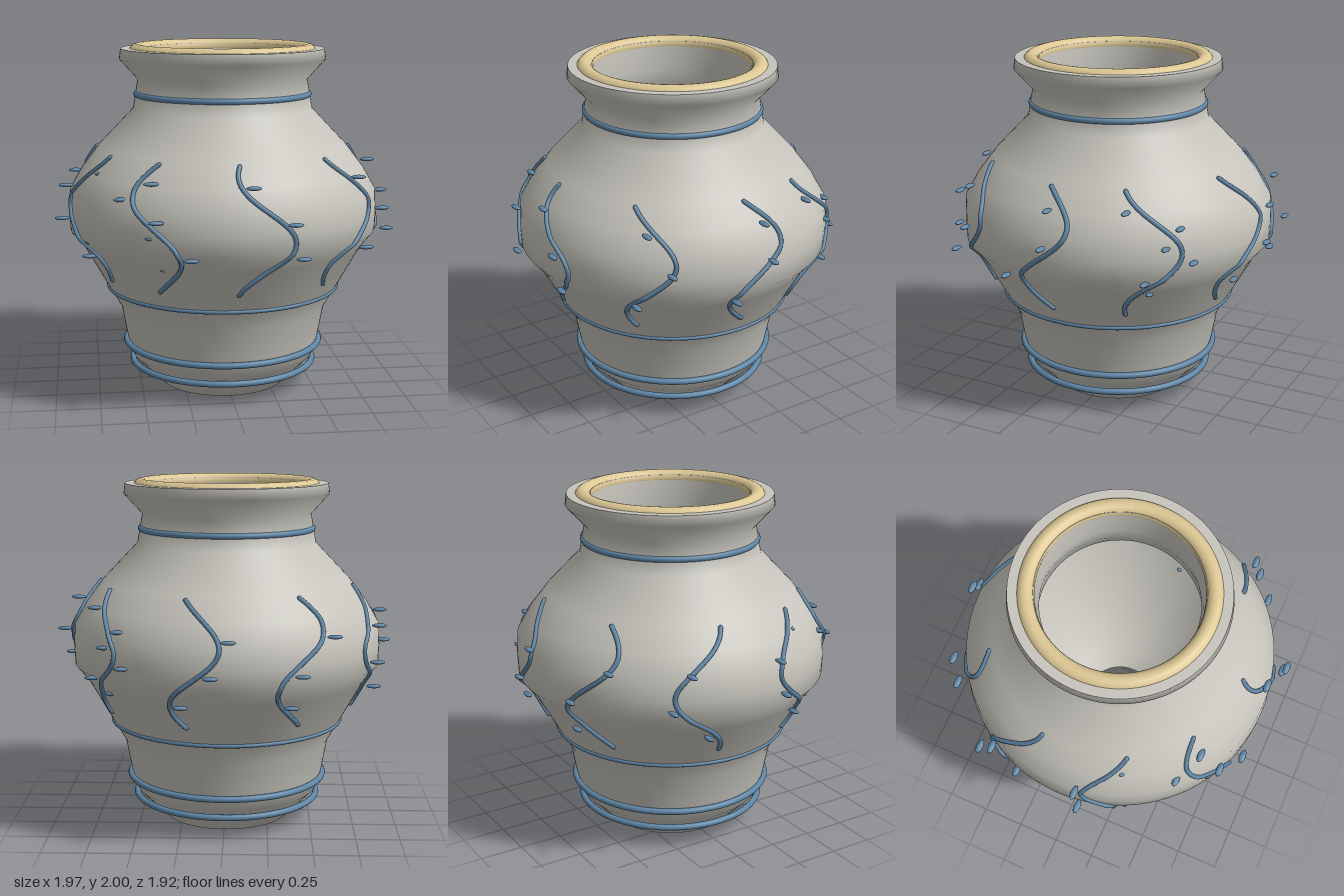
import * as THREE from 'three';

const clay = new THREE.MeshStandardMaterial({ color: 0xc6c4bc, side: THREE.DoubleSide });
clay.name = 'clay';
const blue = new THREE.MeshStandardMaterial({ color: 0x5f86a6 });
blue.name = 'blue glaze';
const cream = new THREE.MeshStandardMaterial({ color: 0xdcc794 });
cream.name = 'cream rim';

// outer wall profile as [radius, height]
const OUTER = [
  [0.365, 0], [0.535, 0.17], [0.57, 0.28], [0.605, 0.47], [0.68, 0.6],
  [0.82, 0.85], [0.893, 0.94], [0.897, 1.05], [0.89, 1.17], [0.82, 1.29],
  [0.72, 1.42], [0.52, 1.63], [0.49, 1.8], [0.595, 1.915], [0.587, 1.975],
];
// lip, then the cavity down to the hole and the hollow foot
const LIP = [[0.587, 1.975], [0.45, 1.975]];
const INNER = [
  [0.45, 1.975], [0.43, 1.8], [0.45, 1.63], [0.64, 1.4], [0.8, 1.15], [0.8, 0.97],
  [0.57, 0.58], [0.42, 0.36], [0.32, 0.28], [0.22, 0.16],
];
const FOOT = [[0.22, 0.16], [0.365, 0]];

function add(parent, name, geometry, material) {
  const mesh = new THREE.Mesh(geometry, material);
  mesh.name = name;
  parent.add(mesh);
  return mesh;
}

const lathe = (profile) =>
  new THREE.LatheGeometry(profile.map(([r, y]) => new THREE.Vector2(r, y)), 96);

function ring(parent, name, radius, tube, y, material) {
  const mesh = add(parent, name, new THREE.TorusGeometry(radius, tube, 16, 96), material);
  mesh.rotation.x = Math.PI / 2;
  mesh.position.y = y;
}

// radius of the outer wall at a height
function wallRadius(y) {
  for (let i = 1; i < OUTER.length; i++) {
    const [r0, y0] = OUTER[i - 1];
    const [r1, y1] = OUTER[i];
    if (y <= y1) return r0 + ((r1 - r0) * (y - y0)) / (y1 - y0);
  }
  return OUTER[OUTER.length - 1][0];
}

// point of a wavy vine lying on the wall, t from 0 (bottom) to 1 (top)
function vinePoint(index, phase, t) {
  const y = 0.7 + 0.7 * t;
  const angle = (index * Math.PI * 2) / 9 + 0.16 + 0.17 * Math.sin(Math.PI * 2 * t + phase);
  const r = wallRadius(y) + 0.005;
  return new THREE.Vector3(r * Math.sin(angle), y, r * Math.cos(angle));
}

export function createModel() {
  const vase = new THREE.Group();
  vase.name = 'vase';

  // clay body
  add(vase, 'outerWall', lathe(OUTER), clay);
  add(vase, 'lip', lathe(LIP), clay);
  add(vase, 'innerWall', lathe(INNER), clay);
  add(vase, 'hollowFoot', lathe(FOOT), clay);

  // rings
  ring(vase, 'rim', 0.493, 0.048, 1.952, cream);
  ring(vase, 'neckRing', 0.497, 0.018, 1.715, blue);
  ring(vase, 'shoulderRing', 0.675, 0.012, 0.59, blue);
  ring(vase, 'lowerRing', 0.574, 0.018, 0.25, blue);
  ring(vase, 'footRing', 0.537, 0.018, 0.13, blue);

  // nine vines, each with six leaves on alternating sides
  const phases = [-1.13, -2.35, -3.05, -1.9, -2.62, 2.73, 1.4, 0.86, -0.3];
  const leafGeometry = new THREE.SphereGeometry(1, 16, 10).scale(0.042, 0.012, 0.019);
  phases.forEach((phase, i) => {
    const vine = new THREE.Group();
    vine.name = 'vine' + (i + 1);
    const points = [];
    for (let k = 0; k <= 20; k++) points.push(vinePoint(i, phase, k / 20));
    const path = new THREE.CatmullRomCurve3(points);
    add(vine, 'stem', new THREE.TubeGeometry(path, 48, 0.013, 8), blue);
    // stem ends
    for (const end of [points[0], points[20]]) {
      add(vine, 'stemEnd', new THREE.SphereGeometry(0.013, 8, 6), blue).position.copy(end);
    }
    for (let k = 0; k < 6; k++) {
      const side = k % 2 ? 1 : -1;
      const leaf = add(vine, 'leaf', leafGeometry, blue);
      leaf.position.copy(vinePoint(i, phase, 0.2 + (0.8 * k) / 6));
      leaf.position.x += side * 0.06;
      leaf.position.z += side * 0.06;
    }
    vase.add(vine);
  });

  // centre the whole, leaves included
  vase.position.set(-0.006, 0, 0.013);
  const model = new THREE.Group();
  model.name = 'decoratedVase';
  model.add(vase);
  return model;
}
